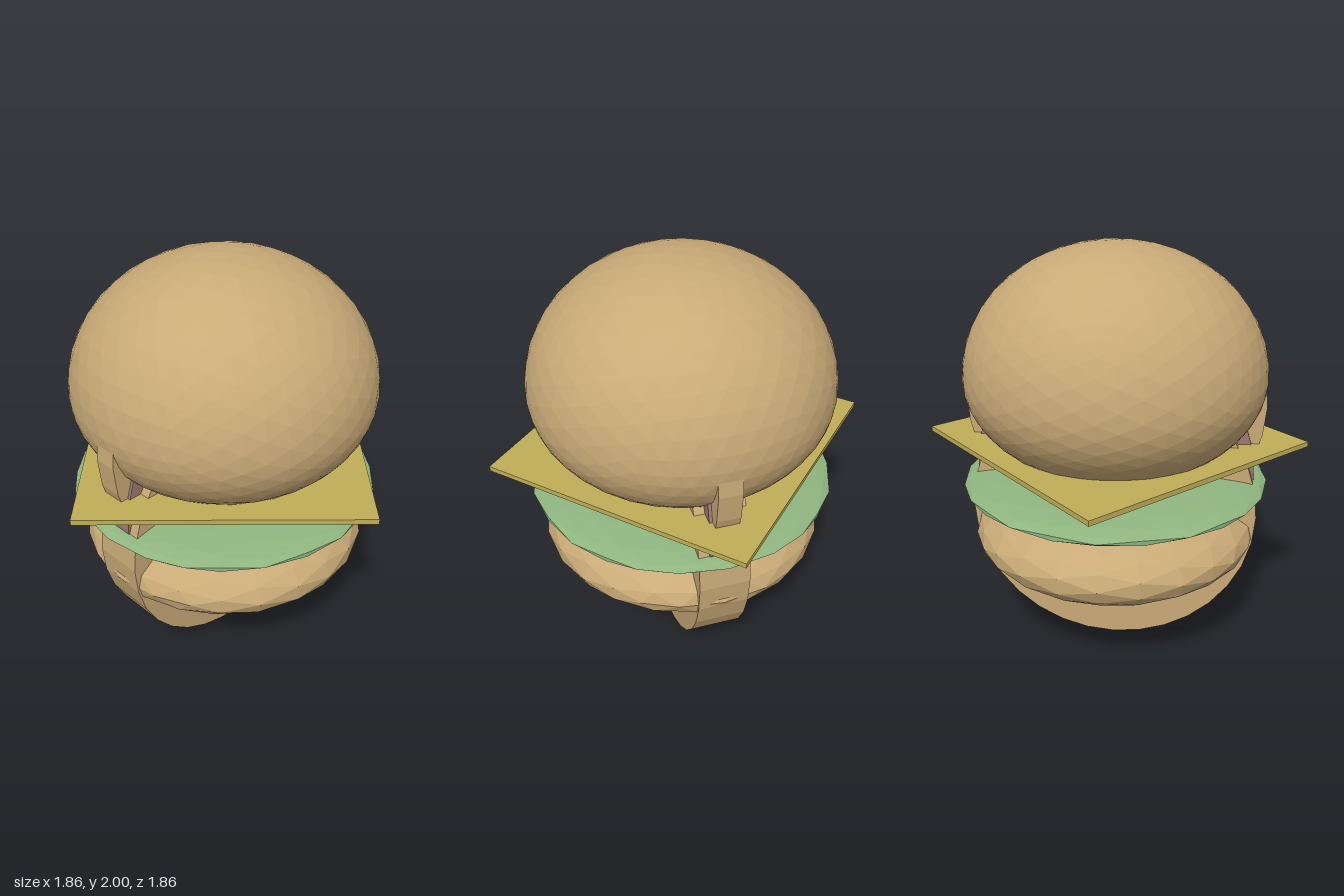
import * as THREE from 'three';

const mat = (color) => new THREE.MeshStandardMaterial({ color, flatShading: true });
const bread = mat(0xc9aa77), green = mat(0x8fb57f), yellow = mat(0xbfae58), pink = mat(0x9c7a70);

export function createModel() {
  const group = new THREE.Group();
  const add = (name, geometry, material, y) => {
    const mesh = new THREE.Mesh(geometry, material);
    mesh.name = name;
    mesh.position.y = y;
    group.add(mesh);
    return mesh;
  };

  // Faceted ellipsoid whose upper and lower halves may differ in height
  const blob = (radius, up, down, detail) => {
    const g = new THREE.IcosahedronGeometry(1, detail);
    const p = g.attributes.position;
    for (let i = 0; i < p.count; i++) {
      const y = p.getY(i);
      p.setXYZ(i, p.getX(i) * radius, y * (y > 0 ? up : down), p.getZ(i) * radius);
    }
    g.computeVertexNormals();
    return g;
  };

  // Upright disc facing the front
  const disc = (radius, depth) =>
    new THREE.CylinderGeometry(radius, radius, depth, 32).rotateX(Math.PI / 2);

  // Horizontal layers of the burger
  add('topBun', blob(0.722, 0.62, 0.49, 7), bread, 1.38);
  add('patty', blob(0.7, 0.245, 0.245, 3), bread, 0.59);
  add('lettuce', blob(0.745, 0.07, 0.075, 3), green, 0.855);
  const side = 0.93 * Math.SQRT2;
  add('cheeseSlice', new THREE.BoxGeometry(side, 0.025, side), yellow, 1.052)
    .rotation.y = Math.PI / 4;

  // Upright discs running through the stack
  add('lowerDisc', disc(0.7, 0.24), bread, 0.7);
  add('middleDisc', disc(0.68, 0.14), pink, 0.9);
  add('upperDisc', disc(0.722, 0.11), bread, 1.25);

  return group;
}
